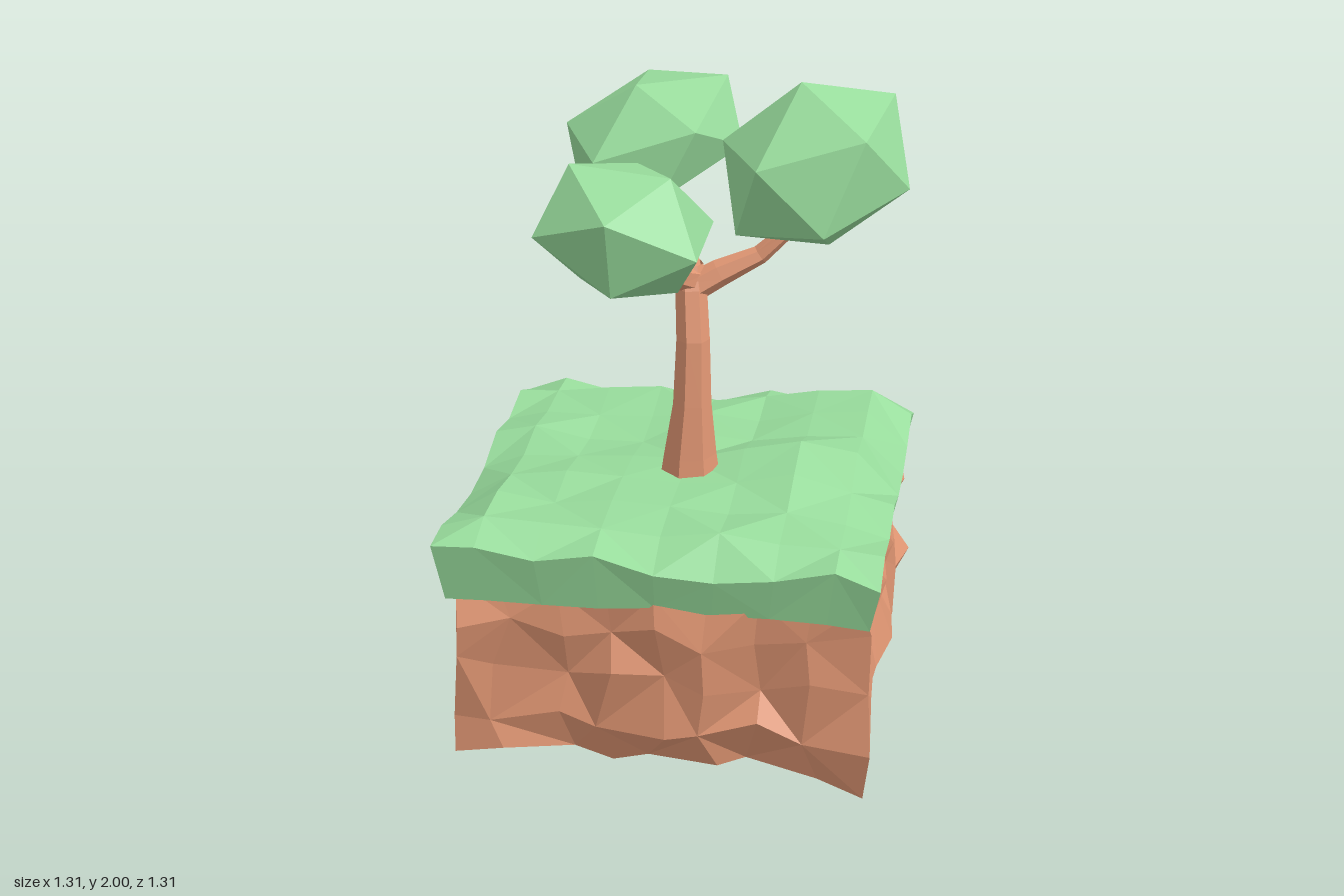
import * as THREE from 'three';

const green = new THREE.MeshStandardMaterial({ color: 0x98dc9c, flatShading: true, side: THREE.DoubleSide });
const brown = new THREE.MeshStandardMaterial({ color: 0xe09673, flatShading: true, side: THREE.DoubleSide });

// Repeatable noise in -1..1
const noise = (a, b, c = 0) => {
  const s = Math.sin(a * 127.1 + b * 311.7 + c * 74.7 + 3.1) * 43758.5453;
  return (s - Math.floor(s)) * 2 - 1;
};

// Grid lines and edge heights of the turf
const LINES = [-0.655, -0.525, -0.35, -0.175, 0, 0.175, 0.35, 0.525, 0.655];
const EDGE = [0.70, 0.75, 0.72, 0.75, 0.70, 0.69, 0.71, 0.75, 0.70];
const CZ = -0.017;

function mesh(name, geometry, material) {
  const flat = geometry.index ? geometry.toNonIndexed() : geometry;
  flat.computeVertexNormals();
  const m = new THREE.Mesh(flat, material);
  m.name = name;
  return m;
}

// Skin a grid of points, rows from bottom to top; each row runs anticlockwise seen from above
function skin(rows, closed = true) {
  const n = rows[0].length, index = [];
  for (let j = 0; j < rows.length - 1; j++) {
    for (let i = 0; i < (closed ? n : n - 1); i++) {
      const a = j * n + i, b = j * n + (i + 1) % n;
      if ((i + j) % 2) index.push(a, b, a + n, b, b + n, a + n);
      else index.push(a, b, b + n, a, b + n, a + n);
    }
  }
  const g = new THREE.BufferGeometry();
  g.setAttribute('position', new THREE.Float32BufferAttribute(rows.flat(2), 3));
  g.setIndex(index);
  return g;
}

// 32 grid positions [column, row] round the square, starting at the +x front corner
function perimeter() {
  const out = [];
  for (let k = 0; k < 8; k++) out.push([8, 8 - k]);
  for (let k = 0; k < 8; k++) out.push([8 - k, 0]);
  for (let k = 0; k < 8; k++) out.push([0, k]);
  for (let k = 0; k < 8; k++) out.push([k, 8]);
  return out;
}

// Turf surface: wavy rim, uneven middle, a knoll on the +x side that runs to the back
function turfHeight(i, j) {
  if (i === 0 && j === 8) return 0.745;
  if (j === 8) return EDGE[i];
  if (i === 8) return EDGE[8 - j];
  if (j === 0) return EDGE[8 - i];
  if (i === 0) return EDGE[j];
  const knoll = (x, z, height) =>
    height * Math.exp(-((LINES[i] - x) ** 2 + (LINES[j] - z) ** 2) * 16);
  return 0.77 + 0.026 * noise(i, j) + knoll(0.36, 0, 0.065) + knoll(0.42, -0.45, 0.04);
}

// Turf: lumpy top sheet and a skirt, open below
function makeTurf() {
  const group = new THREE.Group();
  group.name = 'grass';
  const rows = [];
  for (let j = 8; j >= 0; j--) {
    rows.push(LINES.map((x, i) => [x, turfHeight(i, j), LINES[j] + CZ]));
  }
  group.add(mesh('grassTop', skin(rows, false), green));
  const loop = perimeter();
  const bottom = loop.map(([i, j], k) =>
    [LINES[i] * 0.955, 0.57 + 0.013 * noise(k, 5), LINES[j] * 0.955 + CZ]);
  const top = loop.map(([i, j]) => [LINES[i], turfHeight(i, j), LINES[j] + CZ]);
  group.add(mesh('grassSides', skin([bottom, top]), green));
  return group;
}

// Earth: four jagged walls drawn in at foot and top, open above and below
function makeEarth() {
  const heights = [0.05, 0.2, 0.35, 0.5, 0.62];
  const halfWidths = [0.59, 0.62, 0.608, 0.615, 0.605];
  const rows = heights.map((y, r) => perimeter().map(([i, j], k) => {
    if (r === 0 && k === 0) return [0.62, 0, 0.61];
    const step = halfWidths[r] / 4;
    const jag = r === 4 ? 0.015 : 0.04;
    return [
      (i - 4) * step + jag * noise(k, r, 1),
      y + (r === 0 ? 0.025 : r === 4 ? 0.015 : 0.045) * noise(k, r, 2),
      (j - 4) * step + jag * noise(k, r, 3) + CZ * 0.6,
    ];
  }));
  return mesh('earth', skin(rows), brown);
}

// Tapered limb through stations [x, y, z, radius]
function limb(name, stations, sides, ringsFollowPath) {
  const up = new THREE.Vector3(0, 1, 0);
  const pts = stations.map(s => new THREE.Vector3(s[0], s[1], s[2]));
  const rows = stations.map((s, k) => {
    const dir = pts[Math.min(k + 1, pts.length - 1)].clone().sub(pts[Math.max(k - 1, 0)]).normalize();
    const turn = new THREE.Quaternion();
    if (ringsFollowPath) turn.setFromUnitVectors(up, dir);
    return Array.from({ length: sides }, (_, i) => {
      const a = i / sides * Math.PI * 2;
      return new THREE.Vector3(Math.cos(a) * s[3], 0, -Math.sin(a) * s[3])
        .applyQuaternion(turn).add(pts[k]).toArray();
    });
  });
  return mesh(name, skin(rows), brown);
}

// Faceted leaf ball: icosahedron stretched along three axis vectors
function leafBall(name, centre, ex, ey, ez, vertexUp) {
  const g = new THREE.IcosahedronGeometry(1, 0);
  if (vertexUp) g.rotateZ(-Math.atan(2 / (1 + Math.sqrt(5)))).rotateY(25.6 * Math.PI / 180);
  const [x, y, z] = [ex, ey, ez].map(v => new THREE.Vector3(...v));
  g.applyMatrix4(new THREE.Matrix4().makeBasis(x, y, z).setPosition(...centre));
  return mesh(name, g, green);
}

export function createModel() {
  const model = new THREE.Group();
  model.name = 'treeOnEarthBlock';
  model.add(makeEarth(), makeTurf());

  const tree = new THREE.Group();
  tree.name = 'tree';
  // Trunk and its three branches
  tree.add(
    limb('trunk', [[0.012, 0.73, 0.04, 0.098], [0.013, 0.83, 0.042, 0.083], [0.02, 1.0, 0.045, 0.06],
      [0.02, 1.2, 0.028, 0.052], [0.008, 1.35, -0.01, 0.049], [0.005, 1.42, -0.03, 0.038]], 7, false),
    limb('leftBranch', [[0.01, 1.345, -0.01, 0.045], [0.09, 1.39, -0.035, 0.042],
      [0.21, 1.445, -0.065, 0.029], [0.31, 1.54, -0.08, 0.023], [0.37, 1.63, -0.07, 0.02]], 6, true),
    limb('frontBranch', [[0.01, 1.37, -0.02, 0.045], [-0.03, 1.405, 0.05, 0.037],
      [-0.08, 1.44, 0.16, 0.026], [-0.12, 1.52, 0.24, 0.02]], 6, true),
    limb('backBranch', [[0.008, 1.34, -0.01, 0.046], [-0.02, 1.43, -0.07, 0.04],
      [-0.06, 1.51, -0.13, 0.032], [-0.1, 1.6, -0.21, 0.023], [-0.12, 1.68, -0.25, 0.02]], 6, true),
  );
  // Foliage
  tree.add(
    leafBall('leftFoliage', [0.378, 1.755, 0], [0.296, 0.08, 0], [-0.045, 0.245, 0], [0, -0.045, 0.296], true),
    leafBall('backFoliage', [-0.14, 1.757, -0.23], [0.29, 0.08, 0], [-0.045, 0.165, 0.055], [0, -0.085, 0.275], true),
    leafBall('frontFoliage', [-0.135, 1.63, 0.305], [0.276, -0.028, 0], [0, 0.225, 0.07], [0, -0.015, 0.3], false),
  );
  model.add(tree);
  return model;
}
